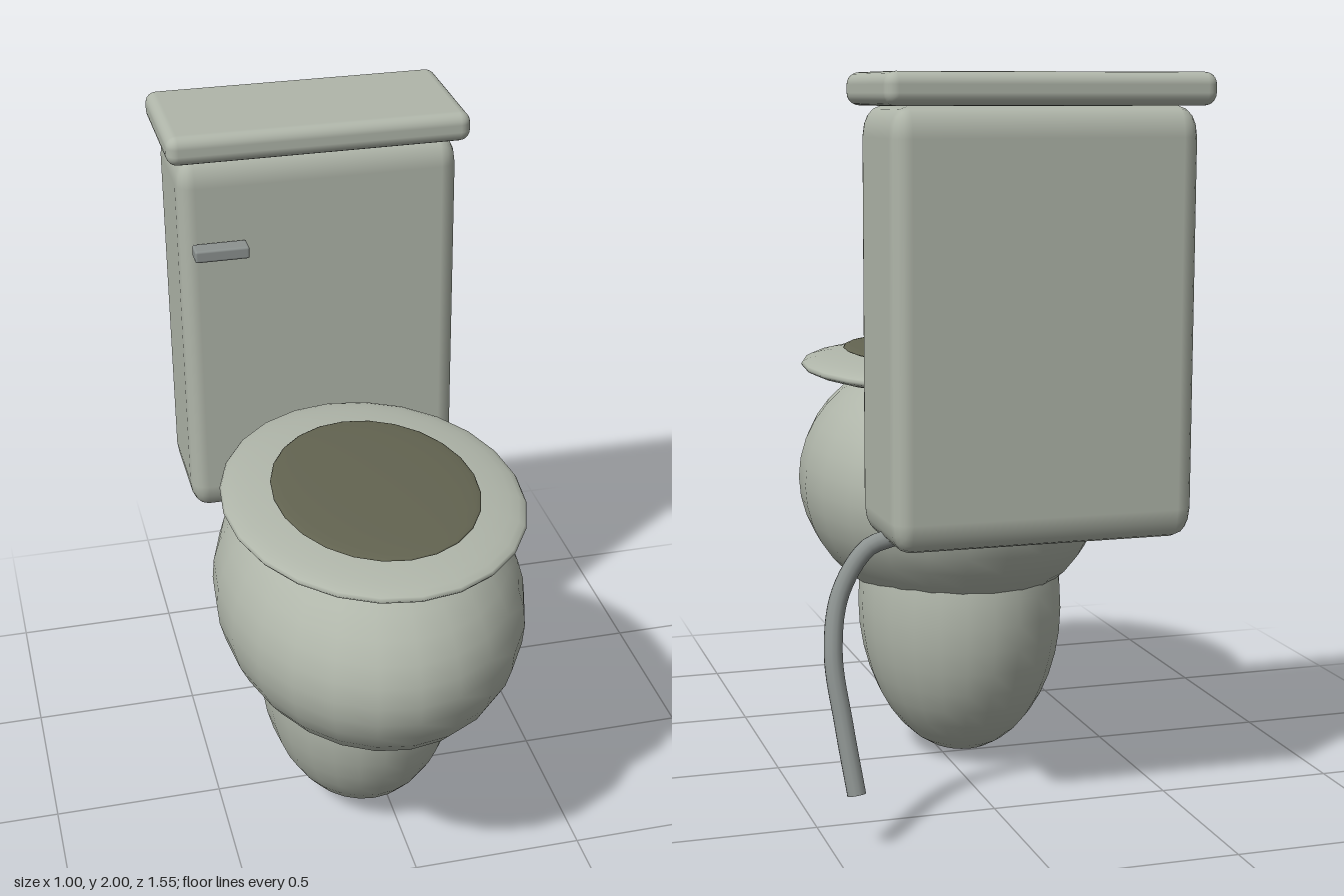
import * as THREE from 'three';
import { RoundedBoxGeometry } from 'three/addons/geometries/RoundedBoxGeometry.js';

const material = (name, color) => {
  const m = new THREE.MeshStandardMaterial({ color });
  m.name = name;
  return m;
};

export function createModel() {
  const group = new THREE.Group();
  const ceramic = material('ceramic', 0xb0b6aa);
  const metal = material('metal', 0x8c9290);
  const water = material('darkOpening', 0x636451);

  const add = (name, geometry, mat, x = 0, y = 0, z = 0) => {
    const mesh = new THREE.Mesh(geometry, mat);
    mesh.name = name;
    mesh.position.set(x, y, z);
    group.add(mesh);
  };
  const ellipsoid = (rx, ry, rz) => new THREE.SphereGeometry(1, 24, 20).scale(rx, ry, rz);
  const cx = -0.067; // centre line of the body

  // Foot, bowl and seat are stretched spheres
  add('foot', ellipsoid(0.297, 0.45, 0.352), ceramic, cx, 0.455, 0.053);
  add('bowl', ellipsoid(0.438, 0.38, 0.602), ceramic, cx, 0.8, 0.172);
  add('seat', ellipsoid(0.417, 0.05, 0.543), ceramic, cx, 1.14, 0.23);
  add('bowlOpening', ellipsoid(0.283, 0.014, 0.385), water, cx, 1.185, 0.265);

  // Tank with taller bevels at top and bottom, and its lid
  const tank = new RoundedBoxGeometry(0.821, 1.13 / 1.6, 0.355, 2, 0.05).scale(1, 1.6, 1);
  add('tank', tank, ceramic, cx, 1.35, -0.557);
  add('tankLid', new RoundedBoxGeometry(0.877, 0.085, 0.43, 3, 0.032), ceramic, cx, 1.9575, -0.56);

  // Flush handle
  add('flushHandle', new RoundedBoxGeometry(0.157, 0.036, 0.058, 2, 0.007), metal, -0.367, 1.657, -0.342);

  // Water hose leaving the tank's left side
  const path = new THREE.CatmullRomCurve3([
    [0.30, 0.80, -0.555], [0.37, 0.775, -0.555], [0.445, 0.66, -0.56], [0.474, 0.51, -0.598],
    [0.458, 0.33, -0.643], [0.437, 0.155, -0.69],
  ].map(p => new THREE.Vector3(...p)));
  add('waterHose', new THREE.TubeGeometry(path, 32, 0.025, 12), metal);
  const cap = new THREE.CircleGeometry(0.025, 12);
  cap.applyQuaternion(new THREE.Quaternion().setFromUnitVectors(
    new THREE.Vector3(0, 0, 1), path.getTangent(1)));
  add('hoseEnd', cap, metal, 0.437, 0.155, -0.69);

  return group;
}
